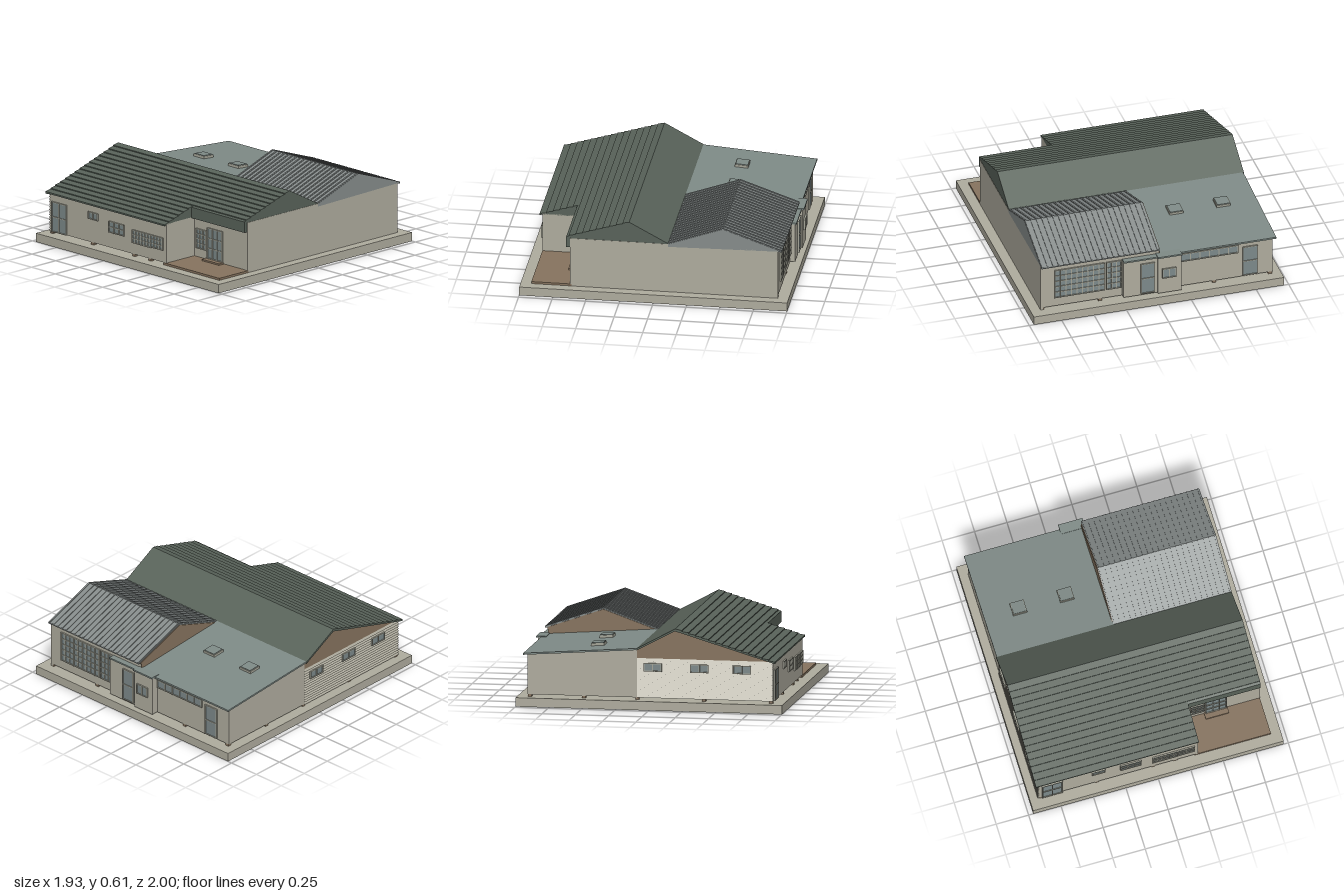
import * as THREE from 'three';

const mat = (name, color, side = THREE.FrontSide) => {
  const m = new THREE.MeshStandardMaterial({ color, side });
  m.name = name;
  return m;
};

export function createModel() {
  const house = new THREE.Group();
  house.name = 'house';
  const wall = mat('warm grey wall', 0xb0ad9f);
  const green = mat('dark green roof', 0x59635a);
  const grey = mat('grey metal roof', 0x878d8c);
  const teal = mat('pale teal roof', 0x808c88);
  const glass = mat('window glass', 0x7d8a8b);
  const brown = mat('brown timber', 0x87745f);
  const trim = mat('window trim', 0xa5a598);

  const add = (name, geo, material, parent = house) => {
    const m = new THREE.Mesh(geo, material);
    m.name = name;
    parent.add(m);
    return m;
  };
  // Box given by its limits
  const box = (name, x0, x1, y0, y1, z0, z1, material, parent) => {
    const g = new THREE.BoxGeometry(x1 - x0, y1 - y0, z1 - z0);
    g.translate((x0 + x1) / 2, (y0 + y1) / 2, (z0 + z1) / 2);
    return add(name, g, material, parent);
  };
  // Side profile of [z, y] points, extruded from x0 to x1
  const profile = (name, pts, x0, x1, material) => {
    const s = new THREE.Shape(pts.map(([z, y]) => new THREE.Vector2(-z, y)));
    const g = new THREE.ExtrudeGeometry(s, { depth: x1 - x0, bevelEnabled: false });
    g.rotateY(Math.PI / 2);
    g.translate(x0, 0, 0);
    return add(name, g, material);
  };
  // Glazed panel with a frame and a grid of bars, facing +z
  const glazing = (name, w, h, cols, rows, pos, turn = 0) => {
    const g = new THREE.Group();
    g.name = name;
    box('glass', -w / 2, w / 2, -h / 2, h / 2, -0.004, 0.005, glass, g);
    const t = 0.0035;
    for (let i = 0; i <= cols; i++) {
      const x = -w / 2 + (w * i) / cols;
      box('upright', x - t, x + t, -h / 2 - t, h / 2 + t, 0, 0.012, trim, g);
    }
    for (let j = 0; j <= rows; j++) {
      const y = -h / 2 + (h * j) / rows;
      box('crossbar', -w / 2 - t, w / 2 + t, y - t, y + t, 0, 0.011, trim, g);
    }
    g.position.set(...pos);
    g.rotation.y = turn;
    house.add(g);
  };

  // Ground slab, terrace and step
  box('groundSlab', -0.965, 0.965, 0, 0.067, -1, 1, wall);
  box('terrace', 0.30, 0.89, 0.067, 0.083, 0.62, 0.92, brown);
  box('terraceStep', 0.46, 0.64, 0.083, 0.095, 0.63, 0.68, brown);

  // Stilts under the floor
  for (const z of [0.905, 0.4, -0.1, -0.5, -0.905])
    for (const x of [-0.88, -0.45, -0.015, 0.155, 0.43, 0.875]) {
      if (x > 0.3 && z > 0.6) continue;
      box('stilt', x - 0.014, x + 0.014, 0.067, 0.087, z - 0.014, z + 0.014, brown);
    }

  // Wall blocks
  box('frontWing', -0.895, 0.33, 0.085, 0.385, -0.1, 0.92, wall);
  box('rightWing', 0.32, 0.885, 0.085, 0.45, -0.1, 0.63, wall);
  box('backRightWing', -0.02, 0.885, 0.085, 0.447, -0.92, -0.1, wall);
  profile('backLeftWing', [[-0.92, 0.085], [-0.1, 0.085], [-0.1, 0.445], [-0.92, 0.385]],
    -0.9, -0.02, wall);
  box('rightWall', 0.87, 0.89, 0.067, 0.452, -0.92, 0.63, wall);

  // Lapped boards on the left wall
  const boards = [[0, 0.085]];
  const laps = 15, lapH = 0.295 / laps;
  for (let i = 0; i < laps; i++)
    boards.push([0.012, 0.085 + i * lapH], [0, 0.085 + (i + 1) * lapH]);
  const lapGeo = new THREE.ExtrudeGeometry(
    new THREE.Shape(boards.map(([d, y]) => new THREE.Vector2(-d, y))),
    { depth: 1.02, bevelEnabled: false });
  lapGeo.translate(-0.895, 0, -0.1);
  add('lappedBoards', lapGeo, wall);

  // Front roof, with stepped shingle rows on the front slope
  const slopeY = (z) => 0.608 - (z - 0.19) * 0.308;
  const rows = (end) => {
    const p = [[0.19, 0.61]];
    for (let z = 0.24; z < end + 0.001; z += 0.05)
      p.push([z, slopeY(z) + 0.007], [z, slopeY(z)]);
    return p;
  };
  const longRows = rows(0.94), shortRows = rows(0.64);
  profile('frontRoofLeft',
    [[-0.1, 0.455], ...longRows, [0.94, 0.372], [0.915, 0.378], [-0.1, 0.38]], -0.895, 0.33, green);
  profile('frontRoofRight',
    [[-0.1, 0.455], ...shortRows, [0.66, slopeY(0.66)], [0.66, 0.38], [0.63, 0.38], [-0.1, 0.40]],
    0.33, 0.888, green);
  profile('roofOverhang',
    [[-0.1, 0.455], ...longRows, [0.94, 0.368], [0.19, 0.592], [-0.1, 0.44]], -0.925, -0.895, green);
  profile('leftGable', [[-0.1, 0.38], [0.92, 0.38], [0.19, 0.6], [-0.1, 0.45]], -0.9, -0.894, brown);

  // Ribbed back gable roof
  const ridge = [-0.51, 0.598], eaves = [[-0.1, 0.452], [-0.95, 0.445]];
  profile('backGableRoof',
    [eaves[0], ridge, eaves[1], [-0.95, 0.438], [-0.92, 0.444], [-0.1, 0.43]], -0.02, 0.89, grey);
  profile('innerGable', [[-0.1, 0.43], [-0.12, 0.452], [-0.51, 0.59], [-0.93, 0.444], [-0.92, 0.38]],
    -0.026, -0.02, brown);
  for (const [z, y] of eaves)
    for (let i = 0; i < 22; i++) {
      const x = -0.013 + i * 0.0423;
      profile('roofRib', [[z, y], ridge, [ridge[0], ridge[1] + 0.006], [z, y + 0.006]],
        x, x + 0.012, grey);
    }

  // Low back roof with two skylights
  profile('lowRoof', [[-0.95, 0.382], [-0.1, 0.442], [-0.1, 0.455], [-0.95, 0.395]],
    -0.92, -0.02, teal);
  for (const x of [-0.655, -0.292]) {
    const sky = new THREE.Group();
    sky.name = 'skylight';
    box('skylightFrame', -0.054, 0.054, -0.015, 0.018, -0.05, 0.05, trim, sky);
    box('skylightPane', -0.048, 0.048, 0.018, 0.023, -0.046, 0.046, teal, sky);
    sky.position.set(x, 0.432, -0.43);
    sky.rotation.x = -0.07;
    house.add(sky);
  }

  // Back entrance porch
  box('entranceBay', 0, 0.26, 0.085, 0.385, -0.957, -0.91, wall);
  box('entranceBayRoof', 0, 0.26, 0.385, 0.397, -0.967, -0.91, teal);
  box('projectingBay', -0.18, 0, 0.085, 0.39, -0.975, -0.91, wall);
  box('projectingBayRoof', -0.185, 0.002, 0.39, 0.402, -0.986, -0.91, teal);

  // Front glazing
  glazing('frontDoor', 0.15, 0.225, 2, 2, [-0.795, 0.2, 0.92]);
  glazing('smallWindow', 0.095, 0.048, 2, 1, [-0.438, 0.29, 0.92]);
  glazing('middleWindow', 0.155, 0.08, 3, 2, [-0.19, 0.245, 0.92]);
  glazing('gridWindowA', 0.19, 0.095, 6, 3, [0.075, 0.222, 0.92]);
  glazing('gridWindowB', 0.125, 0.09, 4, 3, [0.235, 0.225, 0.92]);
  glazing('porchWindow', 0.1, 0.145, 3, 4, [0.41, 0.227, 0.63]);
  glazing('porchDoor', 0.155, 0.23, 3, 3, [0.552, 0.213, 0.63]);

  // Back glazing
  const back = Math.PI;
  glazing('backGridWindow', 0.38, 0.23, 9, 5, [0.59, 0.275, -0.92], back);
  glazing('backSideWindow', 0.11, 0.23, 3, 5, [0.325, 0.275, -0.92], back);
  glazing('entranceDoor', 0.1, 0.25, 1, 2, [0.075, 0.225, -0.957], back);
  glazing('bayWindow', 0.1, 0.075, 2, 1, [-0.085, 0.255, -0.978], back);
  glazing('backStripWindow', 0.44, 0.06, 6, 1, [-0.41, 0.33, -0.92], back);
  glazing('backDoor', 0.11, 0.24, 1, 2, [-0.725, 0.215, -0.92], back);

  // Left side windows
  for (const z of [0.69, 0.37, 0.02])
    glazing('sideWindow', 0.13, 0.055, 2, 1, [-0.907, 0.315, z], -Math.PI / 2);

  return house;
}
